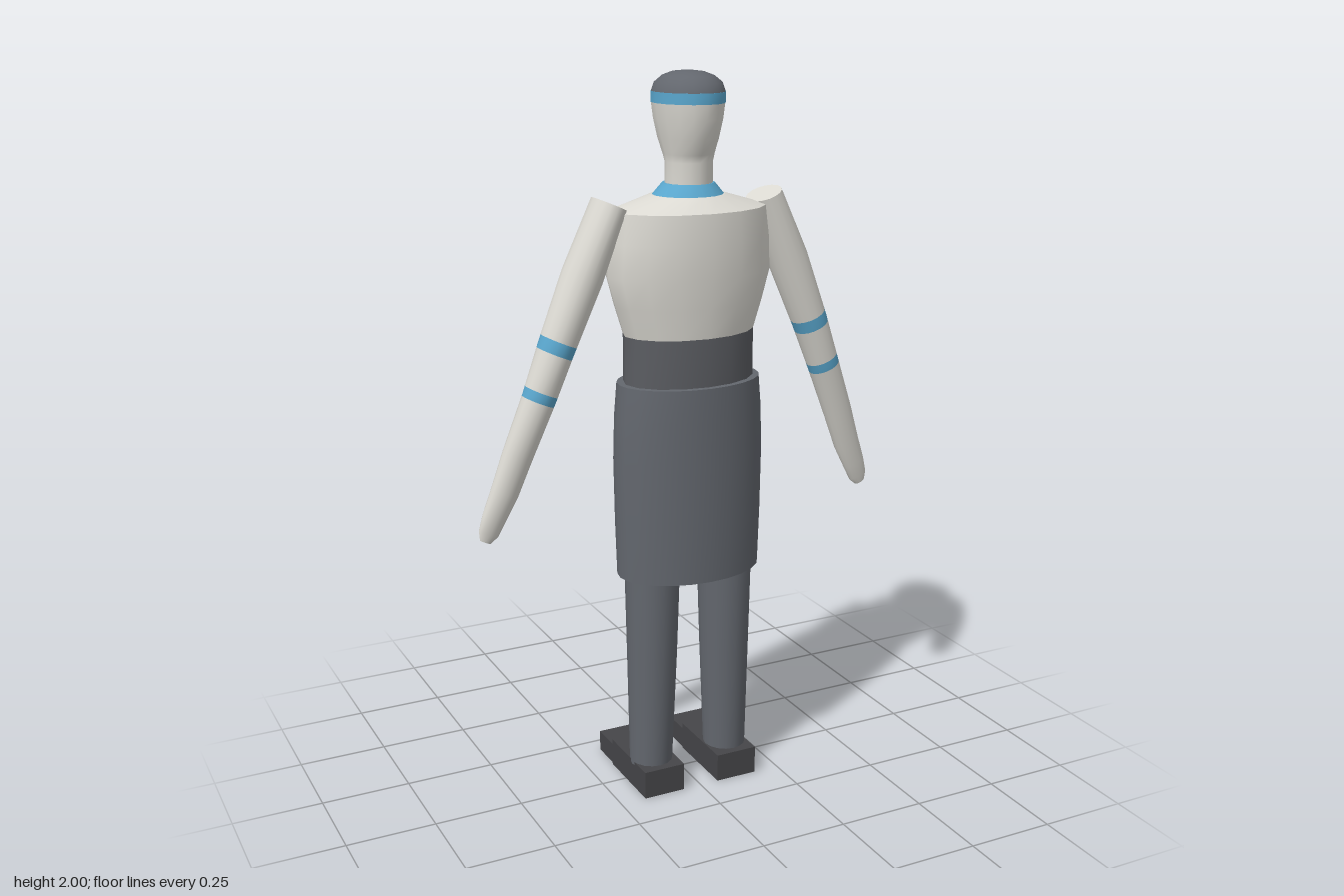
import * as THREE from 'three';

const mat = (name, color) => Object.assign(new THREE.MeshStandardMaterial({ color }), { name });

// Skin through elliptical rings [x, y, z, rx, rz], lowest first, each tilted about z; both ends capped
function loft(rings, tilt = 0, sides = 16) {
  const pos = [], idx = [];
  const point = ([x, y, z, rx, rz], i) => {
    const a = (i / sides) * Math.PI * 2, d = rx * Math.cos(a);
    pos.push(x + d * Math.cos(tilt), y + d * Math.sin(tilt), z + rz * Math.sin(a));
  };
  rings.forEach(r => { for (let i = 0; i < sides; i++) point(r, i); });
  for (let k = 0; k < rings.length - 1; k++) {
    for (let i = 0; i < sides; i++) {
      const a = k * sides + i, b = k * sides + (i + 1) % sides;
      idx.push(a, a + sides, b, b, a + sides, b + sides);
    }
  }
  // Caps have their own vertices so the rim stays sharp
  for (const top of [false, true]) {
    const r = top ? rings[rings.length - 1] : rings[0];
    const c = pos.length / 3;
    pos.push(r[0], r[1], r[2]);
    for (let i = 0; i < sides; i++) point(r, i);
    for (let i = 0; i < sides; i++) {
      const a = c + 1 + i, b = c + 1 + (i + 1) % sides;
      idx.push(c, ...(top ? [b, a] : [a, b]));
    }
  }
  const g = new THREE.BufferGeometry();
  g.setAttribute('position', new THREE.Float32BufferAttribute(pos, 3));
  g.setIndex(idx);
  g.computeVertexNormals();
  return g;
}

// Arm stations of the left side: x, y, z, half width, half depth
const ARM = [
  [0.582, 0.8, 0.015, 0.016, 0.009],
  [0.573, 0.822, 0.016, 0.029, 0.014],
  [0.556, 0.865, 0.018, 0.034, 0.021],
  [0.527, 0.93, 0.022, 0.039, 0.028],
  [0.49, 1.03, 0.029, 0.042, 0.035],
  [0.43, 1.18, 0.04, 0.045, 0.045],
  [0.38, 1.31, 0.043, 0.049, 0.053],
  [0.305, 1.49, 0.045, 0.055, 0.06],
  [0.227, 1.672, 0.045, 0.046, 0.064],
];

// Arm station at a given height
function armAt(y) {
  const k = Math.max(1, ARM.findIndex(r => r[1] >= y));
  const a = ARM[k - 1], b = ARM[k], t = (y - a[1]) / (b[1] - a[1]);
  return a.map((v, i) => v + (b[i] - v) * t);
}

export function createModel() {
  const model = new THREE.Group();
  model.name = 'figure';
  const pale = mat('pale shell', 0xdcdad3);
  const blue = mat('blue trim', 0x5aa7ce);
  const grey = mat('slate grey', 0x63676e);
  const waistGrey = mat('waist grey', 0x5b5d62);
  const dark = mat('boot grey', 0x454548);

  const add = (name, geometry, material, parent = model) => {
    const m = new THREE.Mesh(geometry, material);
    m.name = name;
    parent.add(m);
    return m;
  };
  const box = (name, x0, x1, y0, y1, z0, z1, material, parent) =>
    add(name, new THREE.BoxGeometry(x1 - x0, y1 - y0, z1 - z0), material, parent)
      .position.set((x0 + x1) / 2, (y0 + y1) / 2, (z0 + z1) / 2);

  // Head, headband and cap
  add('head', loft([
    [0, 1.7, 0.047, 0.063, 0.065], [0, 1.77, 0.048, 0.063, 0.065],
    [0, 1.79, 0.047, 0.067, 0.073], [0, 1.83, 0.044, 0.077, 0.095],
    [0, 1.88, 0.044, 0.088, 0.107], [0, 1.92, 0.044, 0.093, 0.112],
  ]), pale);
  add('headband', loft([[0, 1.92, 0.044, 0.094, 0.113], [0, 1.948, 0.044, 0.094, 0.113]]), blue);
  add('cap', loft([
    [0, 1.948, 0.044, 0.093, 0.112], [0, 1.97, 0.044, 0.086, 0.103],
    [0, 1.987, 0.044, 0.066, 0.08], [0, 1.997, 0.044, 0.04, 0.05], [0, 2, 0.044, 0.015, 0.02],
  ]), grey);

  // Collar and torso
  add('collar', loft([[0, 1.68, 0.043, 0.1, 0.093], [0, 1.715, 0.045, 0.07, 0.068]]), blue);
  add('shoulders', loft([[0, 1.65, 0.047, 0.218, 0.143], [0, 1.685, 0.043, 0.1, 0.093]]), pale);
  add('chest', loft([
    [0, 1.32, 0.047, 0.186, 0.123], [0, 1.4, 0.047, 0.212, 0.132],
    [0, 1.48, 0.047, 0.234, 0.141], [0, 1.57, 0.047, 0.229, 0.145], [0, 1.65, 0.047, 0.218, 0.143],
  ]), pale);
  add('waist', loft([[0, 1.18, 0.047, 0.186, 0.123], [0, 1.32, 0.047, 0.186, 0.123]]), waistGrey);
  add('skirt', loft([
    [0, 0.645, 0.047, 0.208, 0.14], [0, 0.8, 0.047, 0.213, 0.142],
    [0, 0.98, 0.047, 0.216, 0.142], [0, 1.1, 0.047, 0.212, 0.141], [0, 1.19, 0.047, 0.204, 0.14],
  ], 0, 24), grey);

  // Back pack
  box('backPack', -0.103, 0.103, 1.18, 1.58, -0.118, -0.08, grey);

  for (const s of [1, -1]) {
    const side = s > 0 ? 'left' : 'right';

    // Arm split by height into sleeve sections and blue bands
    const arm = new THREE.Group();
    arm.name = side + 'Arm';
    model.add(arm);
    const section = (name, y0, y1, material) => {
      const rings = [armAt(y0), ...ARM.filter(r => r[1] > y0 && r[1] < y1), armAt(y1)]
        .map(([x, ...rest]) => [x * s, ...rest]);
      add(name, loft(rings, 0.42 * s), material, arm);
    };
    section('forearm', 0.8, 1.172, pale);
    section('wristBand', 1.172, 1.197, blue);
    section('elbow', 1.197, 1.295, pale);
    section('elbowBand', 1.295, 1.327, blue);
    section('upperArm', 1.327, 1.672, pale);

    // Leg and stepped boot
    add(side + 'Leg', loft([
      [0.118 * s, 0.07, 0.047, 0.06, 0.063], [0.114 * s, 0.4, 0.049, 0.07, 0.072],
      [0.112 * s, 0.7, 0.05, 0.078, 0.078],
    ]), grey);
    const boot = new THREE.Group();
    boot.name = side + 'Boot';
    model.add(boot);
    const cx = 0.115 * s;
    box('bootBody', cx - 0.061, cx + 0.061, 0, 0.08, -0.095, 0.132, dark, boot);
    box('bootExtension', cx - 0.057, cx + 0.057, 0, 0.06, -0.195, -0.095, dark, boot);

    // Small studs above the pack
    for (const y of [1.605, 1.645]) {
      const stud = add(side + 'Stud', new THREE.CylinderGeometry(0.008, 0.008, 0.05, 8), blue);
      stud.rotation.x = Math.PI / 2;
      stud.position.set(0.057 * s, y, -0.102);
    }
  }
  return model;
}
